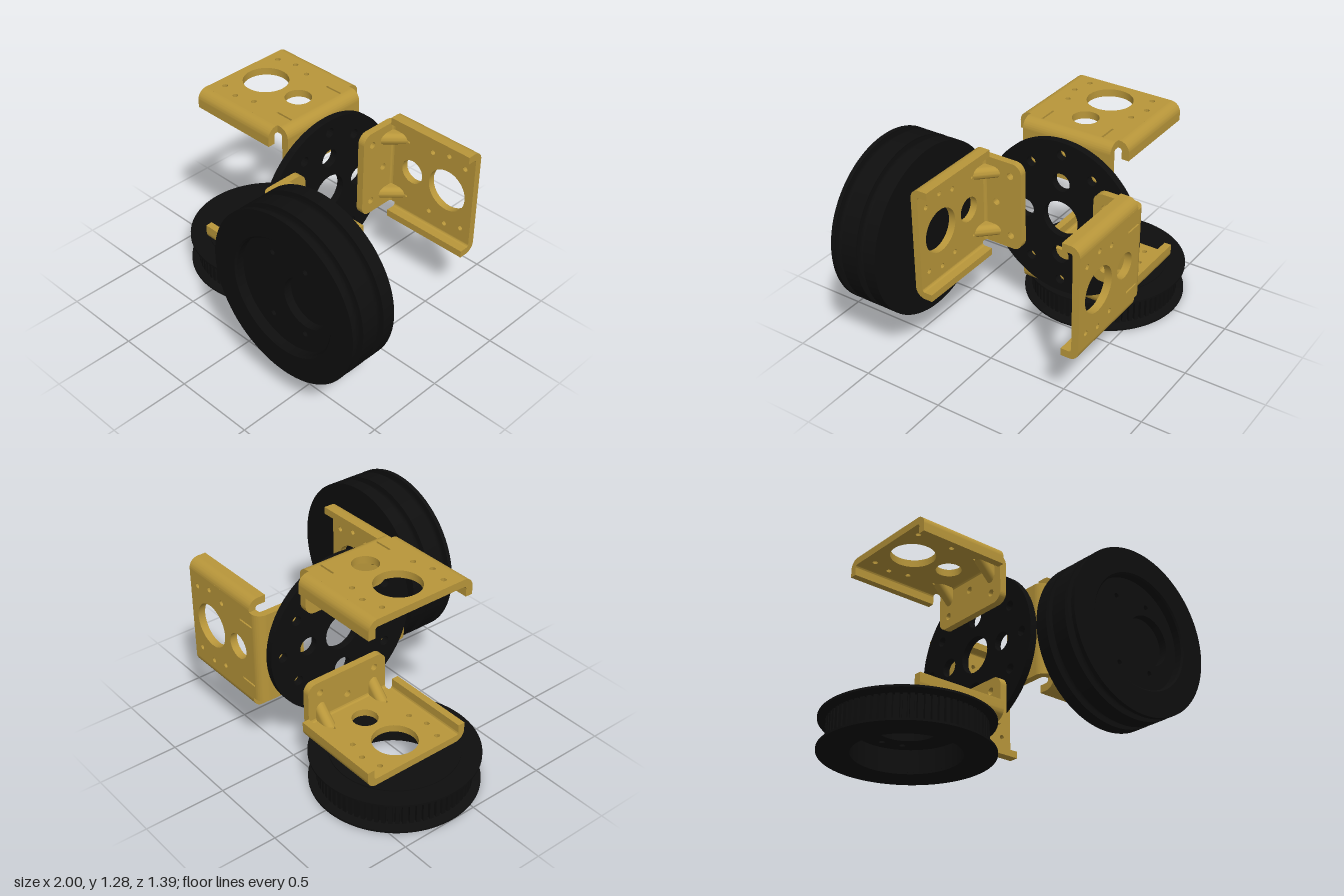
import * as THREE from 'three';
import { toCreasedNormals } from 'three/addons/utils/BufferGeometryUtils.js';

const black = new THREE.MeshStandardMaterial({ color: 0x0e0e0e });
const gold = new THREE.MeshStandardMaterial({ color: 0xb8963a });
const CY = 0.745, CZ = -0.155, T = 0.045;

function mesh(name, geo, mat) {
  const m = new THREE.Mesh(toCreasedNormals(geo, 0.5), mat);
  m.name = name;
  return m;
}
function circle(x, y, r) {
  return new THREE.Path().absarc(x, y, r, 0, Math.PI * 2, true);
}
function disc(r, holes) {
  const s = new THREE.Shape().absarc(0, 0, r, 0, Math.PI * 2, false);
  for (const h of holes) s.holes.push(circle(...h));
  return s;
}
const extrude = (shape, depth, seg = 20) =>
  new THREE.ExtrudeGeometry(shape, { depth, bevelEnabled: false, curveSegments: seg });
const poly = pts => new THREE.Shape(pts.map(p => new THREE.Vector2(...p)));
const lathe = pts => new THREE.LatheGeometry(
  [...pts, pts[0]].map(p => new THREE.Vector2(...p)), 96);

// Bracket: foot lies on x = 0, channel runs along +x, its plate faces +y
function bracket(name) {
  const g = new THREE.Group();
  g.name = name;

  // perforated plate, narrower at the neck
  const plate = poly([[0.06, -0.285], [0.08, -0.285], [0.08, -0.296], [0.66, -0.296],
    [0.66, 0.296], [0.08, 0.296], [0.08, 0.285], [0.06, 0.285]]);
  plate.holes.push(circle(0.47, 0, 0.135), circle(0.205, 0, 0.078));
  for (const s of [-1, 1]) {
    for (const [x, z] of [[0.35, 0.21], [0.47, 0.24], [0.59, 0.21]])
      plate.holes.push(circle(x, z * s, 0.016));
    const z = 0.195 * s, w = 0.006;
    plate.holes.push(new THREE.Path([[0.062, z - w], [0.062, z + w], [0.175, z + w], [0.175, z - w]]
      .map(p => new THREE.Vector2(...p))));
  }
  g.add(mesh('plate', extrude(plate, T).rotateX(Math.PI / 2).translate(0, 0.54, 0), gold));

  // bend between foot and plate
  const bend = new THREE.Shape();
  bend.absarc(0.06, 0.48, 0.06, Math.PI / 2, Math.PI, false);
  bend.absarc(0.06, 0.48, 0.015, Math.PI, Math.PI / 2, true);
  g.add(mesh('bend', extrude(bend, 0.57, 8).translate(0, 0, -0.285), gold));

  // foot with rounded corners and bolt holes
  const foot = new THREE.Shape();
  foot.moveTo(0.285, 0.48);
  foot.lineTo(-0.285, 0.48);
  foot.absarc(-0.225, 0.3, 0.06, Math.PI, Math.PI * 1.5, false);
  foot.absarc(0.225, 0.3, 0.06, -Math.PI / 2, 0, false);
  foot.holes.push(circle(0, 0.415, 0.022), circle(-0.2, 0.315, 0.022), circle(0.2, 0.315, 0.022));
  g.add(mesh('foot', extrude(foot, T).rotateY(Math.PI / 2), gold));

  for (const s of [-1, 1]) {
    // curled side lip
    const lip = new THREE.Shape();
    const a = s > 0 ? 0 : Math.PI;
    lip.moveTo(s * 0.31, 0.43);
    lip.lineTo(s * 0.355, 0.43);
    lip.absarc(s * 0.295, 0.48, 0.06, a, Math.PI / 2, s < 0);
    lip.absarc(s * 0.295, 0.48, 0.015, Math.PI / 2, a, s > 0);
    g.add(mesh('sideLip', extrude(lip, 0.58, 8).rotateY(Math.PI / 2).translate(0.08, 0, 0), gold));

    // pressed gusset: a bullet outline sheared from foot to plate
    const bullet = new THREE.Shape();
    bullet.moveTo(-0.037, 0);
    bullet.lineTo(0.037, 0);
    bullet.absellipse(0, 0.07, 0.037, 0.05, 0, Math.PI, false);
    const geo = extrude(bullet, 1, 8);
    const p = geo.attributes.position;
    for (let i = 0; i < p.count; i++) {
      const w = p.getX(i), d = p.getY(i), t = p.getZ(i);
      p.setXYZ(i, 0.04 + d * t, 0.5 - d * (1 - t), s * 0.195 - w);
    }
    // keep faces pointing outward
    const m = mesh('gusset', geo, gold);
    m.material = gold.clone();
    m.material.side = THREE.DoubleSide;
    g.add(m);
  }
  return g;
}

// Round hub plate with bolt pattern
function hubPlate() {
  const holes = [[0, 0, 0.115]];
  for (let i = 0; i < 4; i++) {
    const c = Math.round(Math.cos(i * Math.PI / 2)), s = Math.round(Math.sin(i * Math.PI / 2));
    for (const [u, v, r] of [[0.24, 0, 0.057], [0.415, 0, 0.03], [0.315, 0.2, 0.03], [0.315, -0.2, 0.03]])
      holes.push([u * c - v * s, u * s + v * c, r]);
  }
  const m = mesh('hubPlate', extrude(disc(0.495, holes), T, 48).rotateY(Math.PI / 2), black);
  m.position.set(-0.035, CY, CZ);
  return m;
}

// Wheel with two round-bottomed grooves, axis along z, back at z = 0
function wheel() {
  const g = new THREE.Group();
  g.name = 'groovedWheel';
  const R = 0.515, profile = [[0.35, 0], [R, 0]];
  for (const z of [0.105, 0.257]) {
    profile.push([R, z - 0.025]);
    for (let i = 0; i <= 8; i++) {
      const a = i / 8 * Math.PI;
      profile.push([R - 0.03 - 0.025 * Math.sin(a), z - 0.025 * Math.cos(a)]);
    }
    profile.push([R, z + 0.025]);
  }
  profile.push([R, 0.307], [0.36, 0.307], [0.35, 0.297]);
  g.add(mesh('wheelRim', lathe(profile).rotateX(Math.PI / 2), black));

  // recessed web with an off-centre pocket
  const bolts = [];
  for (const x of [-0.12, 0.12]) for (const y of [-0.21, 0.21]) bolts.push([x, y, 0.017]);
  g.add(mesh('wheelWeb', extrude(disc(0.355, bolts), 0.2, 32), black));
  const face = mesh('wheelFace', extrude(disc(0.355, [...bolts, [0.12, 0, 0.155]]), 0.05, 32), black);
  face.position.z = 0.2;
  g.add(face);
  g.position.set(0.483, CY, 0.385);
  return g;
}

// Toothed belt pulley, axis along y
function pulley() {
  const g = new THREE.Group();
  g.name = 'beltPulley';
  const N = 72, pts = [];
  for (let i = 0; i < N; i++)
    for (const [f, r] of [[0, 0.45], [0.6, 0.45], [0.68, 0.43], [0.92, 0.43]]) {
      const a = (i + f) / N * Math.PI * 2;
      pts.push([r * Math.cos(a), r * Math.sin(a)]);
    }
  const gear = poly(pts);
  gear.holes.push(circle(0, 0, 0.31));
  g.add(mesh('toothedRing', extrude(gear, 0.175, 32).rotateX(-Math.PI / 2).translate(0, 0.012, 0), black));

  // tapered flanges
  g.add(mesh('lowerFlange', lathe([[0.31, 0], [0.495, 0], [0.495, 0.012], [0.445, 0.028], [0.31, 0.028]]), black));
  g.add(mesh('upperFlange', lathe([[0.31, 0.17], [0.445, 0.17], [0.495, 0.186], [0.495, 0.198], [0.31, 0.198]]), black));

  // web with bore and bolt holes
  const holes = [[0, 0, 0.17]];
  for (const s of [-1, 1])
    for (const [x, z] of [[-0.12, 0.21], [0, 0.24], [0.12, 0.21]]) holes.push([x, z * s, 0.017]);
  g.add(mesh('pulleyWeb', extrude(disc(0.38, holes), 0.06, 32).rotateX(-Math.PI / 2).translate(0, 0.145, 0), black));
  g.position.set(-0.505, 0, CZ);
  return g;
}

export function createModel() {
  const model = new THREE.Group();
  model.name = 'hubAssembly';
  model.add(hubPlate(), wheel(), pulley());
  const places = [
    ['topBracket', -0.035, 0, Math.PI, 0],
    ['bottomBracket', -0.035, 0, 0, Math.PI],
    ['frontBracket', 0.01, Math.PI / 2, 0, 0],
    ['backBracket', 0.01, -Math.PI / 2, 0, 0],
  ];
  for (const [name, x, rx, ry, rz] of places) {
    const b = bracket(name);
    b.position.set(x, CY, CZ);
    b.rotation.set(rx, ry, rz);
    model.add(b);
  }
  return model;
}
